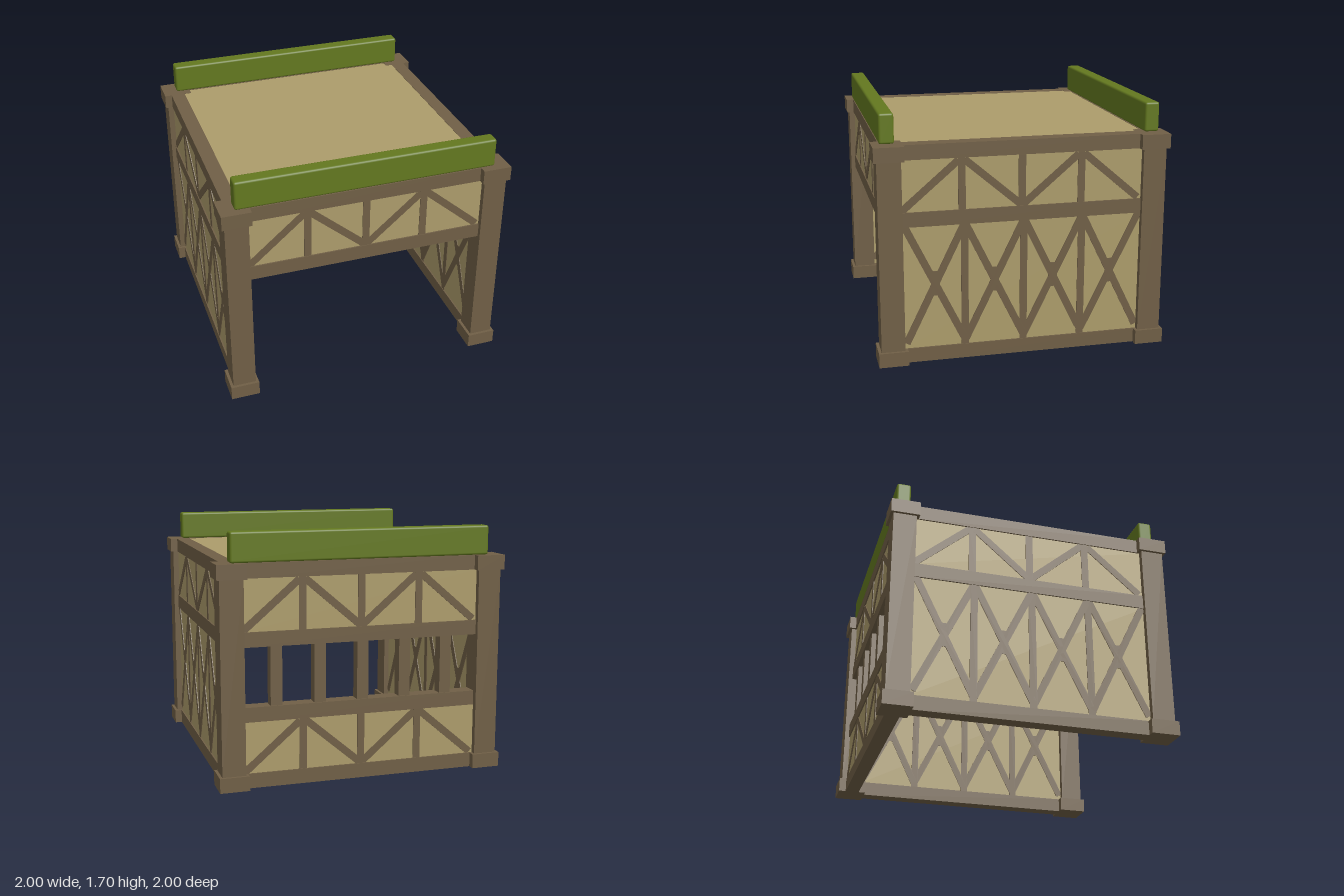
import * as THREE from 'three';
import { RoundedBoxGeometry } from 'three/addons/geometries/RoundedBoxGeometry.js';

export function createModel() {
  const model = new THREE.Group();
  model.name = 'timberFrameHouse';
  const wood = new THREE.MeshStandardMaterial({ color: 0x70604a });
  wood.name = 'wood';
  wood.color.set(0x705f46);
  const plaster = new THREE.MeshStandardMaterial({ color: 0xac9c6b });
  plaster.name = 'plaster';
  const leaf = new THREE.MeshStandardMaterial({ color: 0x63781f });
  leaf.name = 'leaf';

  function box(parent, name, mat, w, h, d, x, y, z) {
    const mesh = new THREE.Mesh(new THREE.BoxGeometry(w, h, d), mat);
    mesh.name = name;
    mesh.position.set(x, y, z);
    parent.add(mesh);
    return mesh;
  }

  // Walls are built facing +z, 0.9 from the centre, then turned into place
  const Z = 0.9, BEAM = 0.1, TIMBER = 0.09, PANEL = 0.08;

  function beam(wall, name, y, length) {
    box(wall, name, wood, length, 0.1, BEAM, 0, y, Z);
  }
  function strut(wall, x0, y0, x1, y1, width = 0.05) {
    const length = Math.hypot(x1 - x0, y1 - y0);
    const mesh = box(wall, 'strut', wood, length, width, TIMBER, (x0 + x1) / 2, (y0 + y1) / 2, Z);
    mesh.rotation.z = Math.atan2(y1 - y0, x1 - x0);
  }
  function panel(wall, y0, y1) {
    box(wall, 'plasterPanel', plaster, 1.64, y1 - y0, PANEL, 0, (y0 + y1) / 2, Z);
  }

  // Short panel: uprights with braces falling to each side
  function bracedPanel(wall, y0) {
    panel(wall, y0, y0 + 0.35);
    strut(wall, -0.013, y0, -0.013, y0 + 0.35);
    for (const x of [-0.42, 0.395]) {
      strut(wall, x, y0, x, y0 + 0.35);
      for (const s of [-1, 1]) strut(wall, x + s * 0.02, y0 + 0.335, x + s * 0.4, y0 + 0.01);
    }
  }

  // Tall panel: uprights with crossed struts between
  function crossedPanel(wall) {
    panel(wall, 0.1, 0.95);
    for (const x of [-0.405, 0, 0.405]) strut(wall, x, 0.1, x, 0.95);
    for (const x of [-0.605, -0.2, 0.205, 0.61]) {
      for (const s of [-1, 1]) strut(wall, x - s * 0.2, 0.135, x + s * 0.2, 0.955);
      box(wall, 'crossJoint', wood, 0.06, 0.17, TIMBER, x, 0.55, Z);
    }
  }

  function addWall(name, angle, build) {
    const wall = new THREE.Group();
    wall.name = name;
    wall.rotation.y = angle;
    beam(wall, 'topBeam', 1.45, 1.6);
    beam(wall, 'middleBeam', 1.0, 1.64);
    bracedPanel(wall, 1.05);
    build(wall);
    model.add(wall);
  }

  // Front is open below the middle beam
  addWall('frontWall', 0, () => {});
  // Back has a barred window above a low panel
  addWall('backWall', Math.PI, (wall) => {
    beam(wall, 'bottomBeam', 0.05, 1.6);
    beam(wall, 'windowSill', 0.5, 1.63);
    bracedPanel(wall, 0.1);
    for (let i = -2; i <= 2; i++) box(wall, 'windowBar', wood, 0.08, 0.4, 0.08, i * 0.3, 0.75, Z);
  });
  for (const s of [-1, 1]) {
    addWall(s > 0 ? 'leftWall' : 'rightWall', s * Math.PI / 2, (wall) => {
      beam(wall, 'bottomBeam', 0.05, 1.6);
      crossedPanel(wall);
    });
  }

  // Corner posts with a foot and a cap
  for (const x of [-0.9, 0.9]) {
    for (const z of [-0.9, 0.9]) {
      box(model, 'cornerPost', wood, 0.16, 1.3, 0.16, x, 0.75, z);
      box(model, 'postFoot', wood, 0.2, 0.1, 0.2, x, 0.05, z);
      box(model, 'postCap', wood, 0.2, 0.1, 0.2, x, 1.45, z);
    }
  }

  // Flat roof
  box(model, 'roof', plaster, 1.7, 0.09, 1.7, 0, 1.453, 0);

  // Hedges along the front and back edges
  for (const z of [-0.9, 0.9]) {
    const hedge = new THREE.Mesh(new RoundedBoxGeometry(1.8, 0.2, 0.1, 2, 0.015), leaf);
    hedge.name = 'hedge';
    hedge.position.set(0, 1.6, z);
    model.add(hedge);
  }
  return model;
}
